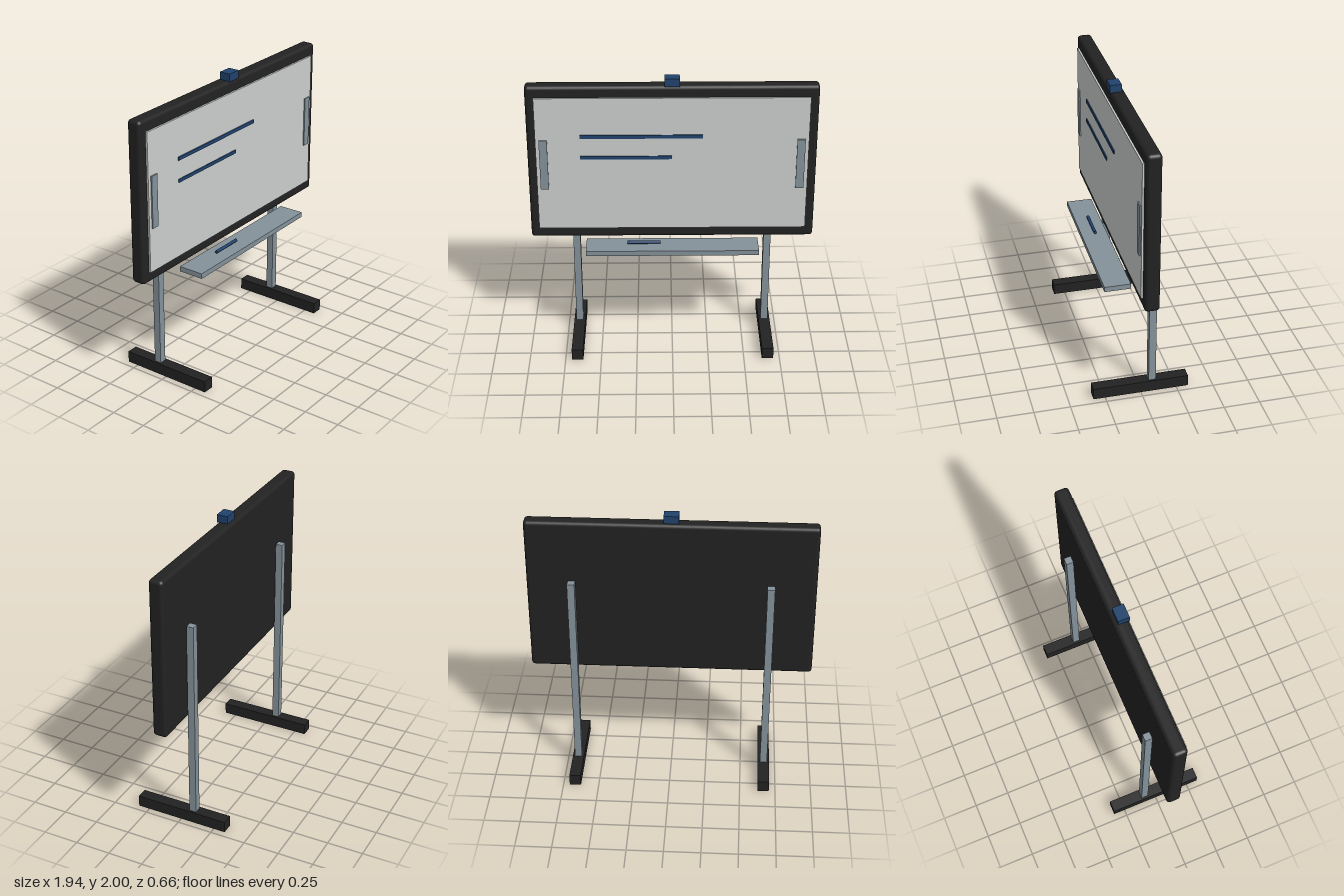
import * as THREE from 'three';
import { RoundedBoxGeometry } from 'three/addons/geometries/RoundedBoxGeometry.js';

const material = (name, color) => {
  const m = new THREE.MeshStandardMaterial({ color });
  m.name = name;
  return m;
};

export function createModel() {
  const group = new THREE.Group();
  const black = material('black casing', 0x222222);
  const white = material('pale screen', 0xcbcfcd);
  const steel = material('grey steel', 0x84929a);
  const blue = material('dark blue', 0x20426c);

  const add = (name, geometry, mat, x, y, z) => {
    const mesh = new THREE.Mesh(geometry, mat);
    mesh.name = name;
    mesh.position.set(x, y, z);
    group.add(mesh);
    return mesh;
  };
  // Box given by its [min, max] range on each axis
  const box = (name, mat, [x0, x1], [y0, y1], [z0, z1]) =>
    add(name, new THREE.BoxGeometry(x1 - x0, y1 - y0, z1 - z0), mat,
      (x0 + x1) / 2, (y0 + y1) / 2, (z0 + z1) / 2);

  // Board casing and writing surface
  add('boardFrame', new RoundedBoxGeometry(1.94, 1.12, 0.1, 3, 0.025), black, 0, 1.388, 0);
  box('screen', white, [-0.912, 0.912], [0.905, 1.87], [0.045, 0.063]);

  // Written strokes
  box('upperStroke', blue, [-0.615, 0.205], [1.582, 1.607], [0.061, 0.07]);
  box('lowerStroke', blue, [-0.615, 0], [1.43, 1.453], [0.061, 0.07]);

  // Camera on the top edge
  box('camera', blue, [-0.05, 0.05], [1.945, 2], [-0.025, 0.054]);

  // Pen tray and pen
  box('penTray', steel, [-0.59, 0.59], [0.775, 0.811], [0.045, 0.225]);
  const pen = add('pen', new THREE.CylinderGeometry(0.011, 0.011, 0.226, 12), blue, -0.195, 0.829, 0.132);
  pen.rotation.z = Math.PI / 2;

  // Paired side panels, posts and feet
  for (const [side, s] of [['left', 1], ['right', -1]]) {
    const span = (c, w) => [s * c - w / 2, s * c + w / 2];
    box(side + 'SidePanel', steel, span(0.861, 0.055), [1.21, 1.57], [0.058, 0.072]);
    box(side + 'Post', steel, span(0.666, 0.05), [0.07, 1.515], [-0.107, -0.057]);
    box(side + 'Foot', black, span(0.666, 0.08), [0, 0.081], [-0.332, 0.332]);
  }
  return group;
}
